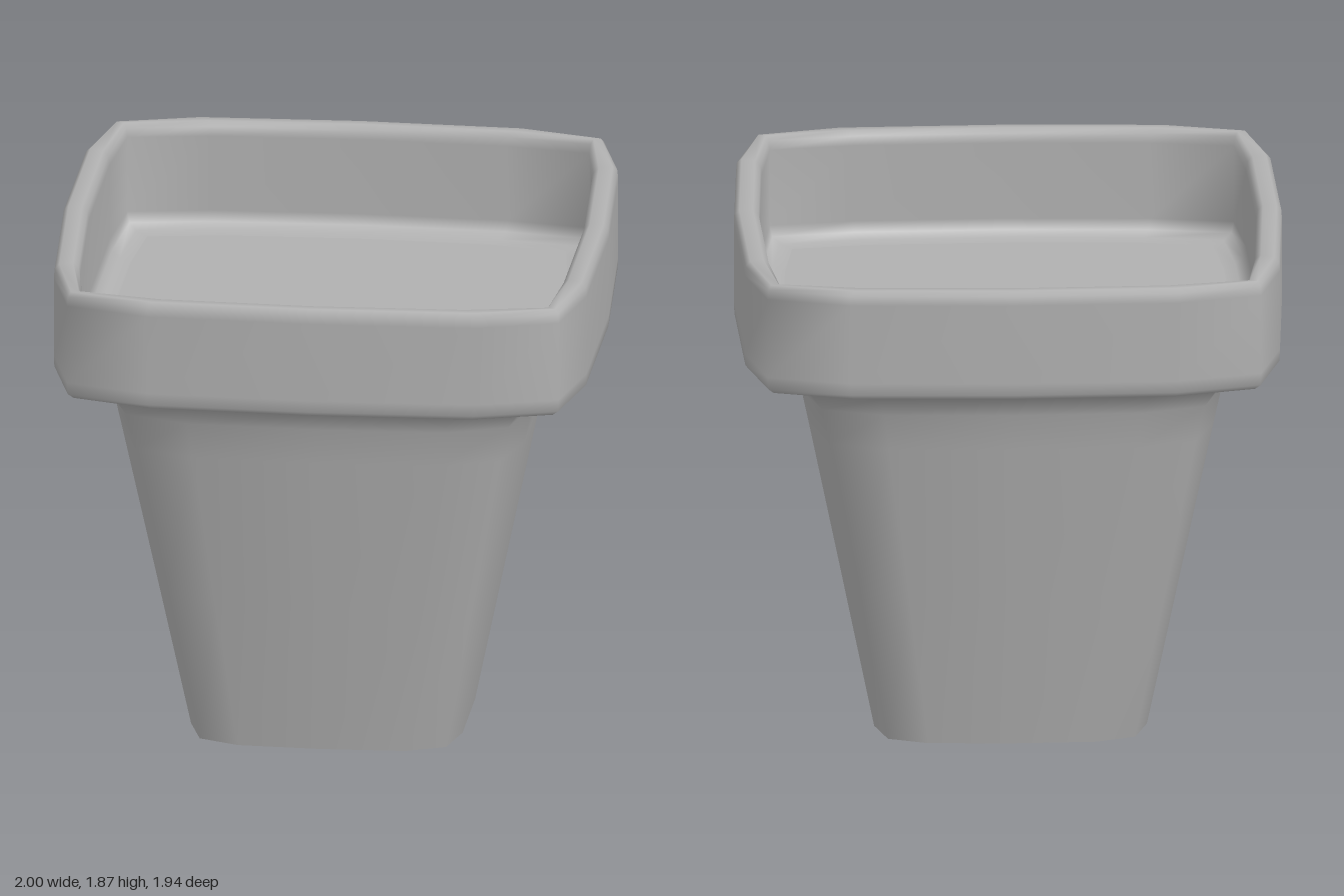
import * as THREE from 'three';

// Rounded-square ring of 16 points, half-sizes w and d; k is how far the corners reach out.
function ring(y, w, d, k) {
  const quarter = [[1, 0], [0.976, 0.615], [k, k], [0.6, 0.982]];
  const points = [];
  for (let q = 0; q < 4; q++) {
    for (let i = 0; i < 4; i++) {
      // odd quarters run the same steps backwards with the signs mirrored
      const [a, b] = q % 2 ? (i === 0 ? [0, 1] : quarter[4 - i]) : quarter[i];
      const sx = q === 1 || q === 2 ? -1 : 1;
      const sz = q >= 2 ? -1 : 1;
      points.push([a * w * sx, y, b * d * sz]);
    }
  }
  return points;
}

// Skin a stack of rings; optionally close the last one with a flat fan.
function loft(sections, capped = false) {
  const n = 16;
  const positions = sections.flatMap((s) => ring(...s)).flat();
  const index = [];
  for (let i = 0; i < sections.length - 1; i++) {
    for (let j = 0; j < n; j++) {
      const a = i * n + j;
      const b = i * n + ((j + 1) % n);
      index.push(a, a + n, b, b, a + n, b + n);
    }
  }
  if (capped) {
    const centre = positions.length / 3;
    const last = centre - n;
    positions.push(0, sections[sections.length - 1][0], 0);
    for (let j = 0; j < n; j++) index.push(last + j, centre, last + ((j + 1) % n));
  }
  const geometry = new THREE.BufferGeometry();
  geometry.setAttribute('position', new THREE.Float32BufferAttribute(positions, 3));
  geometry.setIndex(index);
  geometry.computeVertexNormals();
  return geometry;
}

export function createModel() {
  const grey = new THREE.MeshStandardMaterial({ color: 0xb0b0b0, side: THREE.DoubleSide });
  grey.name = 'grey clay';
  const group = new THREE.Group();
  group.name = 'planter';

  // Open-bottomed tapered body, thick collar and inner wall: [y, half width, half depth, corner]
  const pot = new THREE.Mesh(loft([
    [0, 0.51, 0.56, 0.885],
    [0.6, 0.632, 0.667, 0.885],
    [1.2, 0.755, 0.773, 0.885],
    [1.34, 0.785, 0.795, 0.89],
    [1.41, 0.825, 0.83, 0.895],
    [1.445, 0.93, 0.91, 0.9],
    [1.455, 0.975, 0.95, 0.9],
    [1.475, 0.998, 0.968, 0.9],
    [1.52, 1, 0.97, 0.9],
    [1.82, 1, 0.97, 0.9],
    [1.855, 0.997, 0.967, 0.9],
    [1.872, 0.98, 0.952, 0.905],
    [1.872, 0.93, 0.92, 0.925],
    [1.855, 0.91, 0.902, 0.935],
    [1.82, 0.905, 0.898, 0.935],
    [1.53, 0.905, 0.898, 0.935],
    [1.49, 0.895, 0.888, 0.935],
    [1.47, 0.865, 0.858, 0.935],
    [1.465, 0.82, 0.815, 0.935],
  ]), grey);
  pot.name = 'pot';
  group.add(pot);

  // Flat fill inside the collar
  const soil = new THREE.Mesh(loft([
    [1.465, 0.82, 0.815, 0.935],
    [1.465, 0.5, 0.5, 0.935],
  ], true), grey);
  soil.name = 'soil';
  group.add(soil);

  return group;
}
